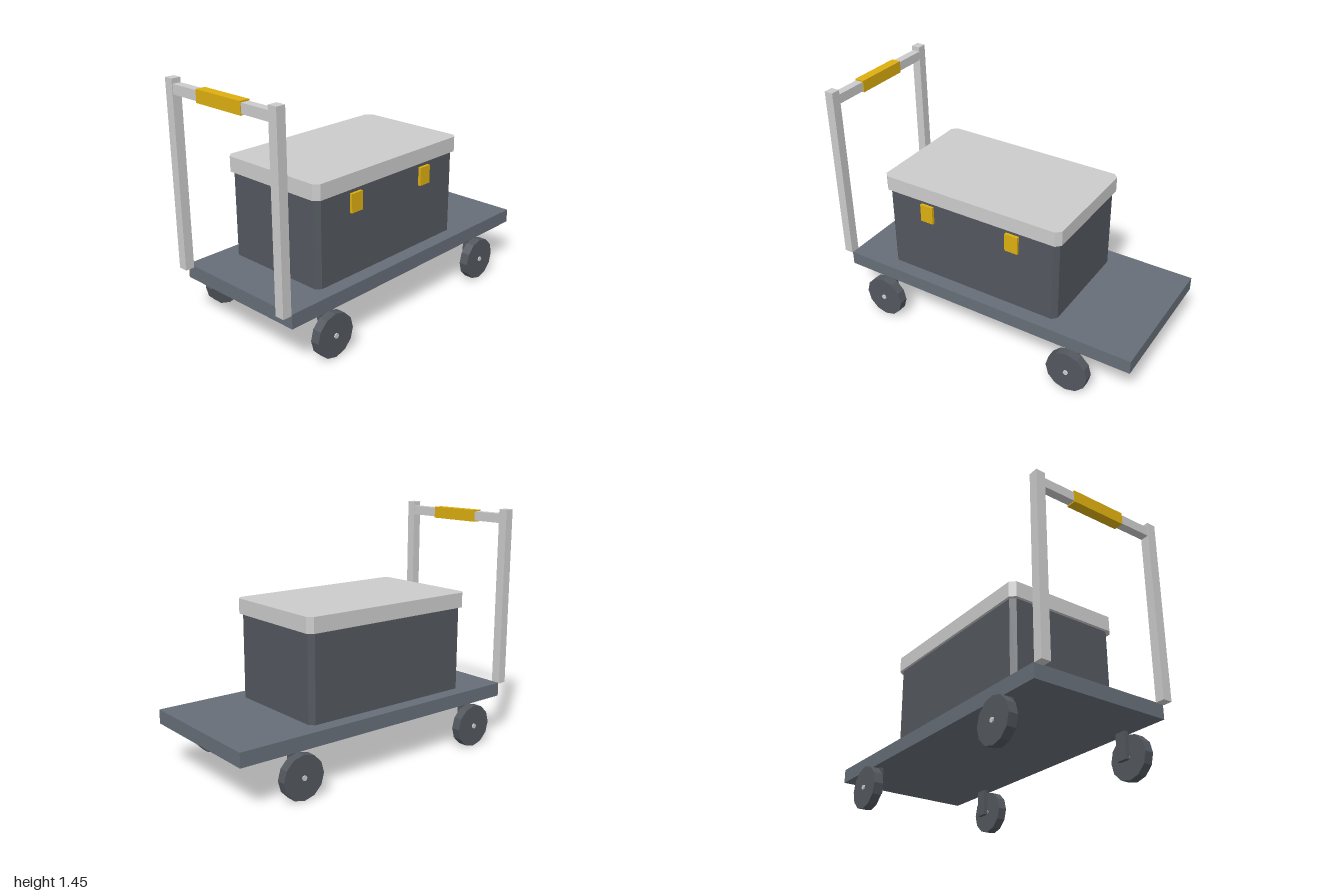
import * as THREE from 'three';

const material = (color) => new THREE.MeshStandardMaterial({ color, flatShading: true });

export function createModel() {
  const model = new THREE.Group();
  model.name = 'platformTrolley';

  const deckPaint = material(0x666e78);
  const darkPaint = material(0x53585f);
  const metal = material(0xcccccc);
  const yellow = material(0xddaf10);

  const add = (name, geometry, mat, x, y, z, parent = model) => {
    const mesh = new THREE.Mesh(geometry, mat);
    mesh.name = name;
    mesh.position.set(x, y, z);
    parent.add(mesh);
    return mesh;
  };
  const box = (w, h, d) => new THREE.BoxGeometry(w, h, d);

  // Upright block with chamfered vertical corners, base at y = 0
  const chamferedBlock = (w, h, d, c) => {
    const x = w / 2, z = d / 2;
    const outline = new THREE.Shape([
      [x, z - c], [x - c, z], [c - x, z], [-x, z - c],
      [-x, c - z], [c - x, -z], [x - c, -z], [x, c - z],
    ].map(([a, b]) => new THREE.Vector2(a, b)));
    return new THREE.ExtrudeGeometry(outline, { depth: h, bevelEnabled: false }).rotateX(-Math.PI / 2);
  };

  // Platform
  add('deck', box(1.94, 0.085, 0.87), deckPaint, 0.03, 0.3075, 0);

  // Push handle
  const handle = new THREE.Group();
  handle.name = 'pushHandle';
  model.add(handle);
  for (const s of [-1, 1]) {
    add('handlePost', box(0.056, 1.105, 0.058), metal, -0.972, 0.8975, s * 0.407, handle);
  }
  add('handleBar', box(0.05, 0.057, 0.76), metal, -0.97, 1.393, 0, handle);
  add('handleGrip', box(0.06, 0.073, 0.35), yellow, -0.97, 1.393, 0, handle);

  // Storage chest with overhanging lid and front latches
  const chest = new THREE.Group();
  chest.name = 'chest';
  model.add(chest);
  add('chestBody', chamferedBlock(1.154, 0.52, 0.695, 0.028), darkPaint, -0.09, 0.35, 0, chest);
  add('chestLid', chamferedBlock(1.19, 0.092, 0.725, 0.03), metal, -0.09, 0.868, 0, chest);
  for (const x of [-0.38, 0.2]) {
    add('latch', box(0.084, 0.112, 0.025), yellow, x, 0.785, 0.353, chest);
  }

  // Four wheels, each on an axle carried by a bracket under the deck
  const wheel = new THREE.CylinderGeometry(0.131, 0.131, 0.056, 12).rotateX(Math.PI / 2);
  const axle = new THREE.CylinderGeometry(0.015, 0.015, 0.107, 8).rotateX(Math.PI / 2);
  for (const x of [-0.67, 0.635]) {
    for (const s of [-1, 1]) {
      const caster = new THREE.Group();
      caster.name = 'wheelAssembly';
      model.add(caster);
      add('wheelBracket', box(0.07, 0.162, 0.026), darkPaint, x, 0.185, s * 0.387, caster);
      add('axle', axle, metal, x, 0.132, s * 0.434, caster);
      add('wheel', wheel, darkPaint, x, 0.132, s * 0.452, caster);
    }
  }

  return model;
}
